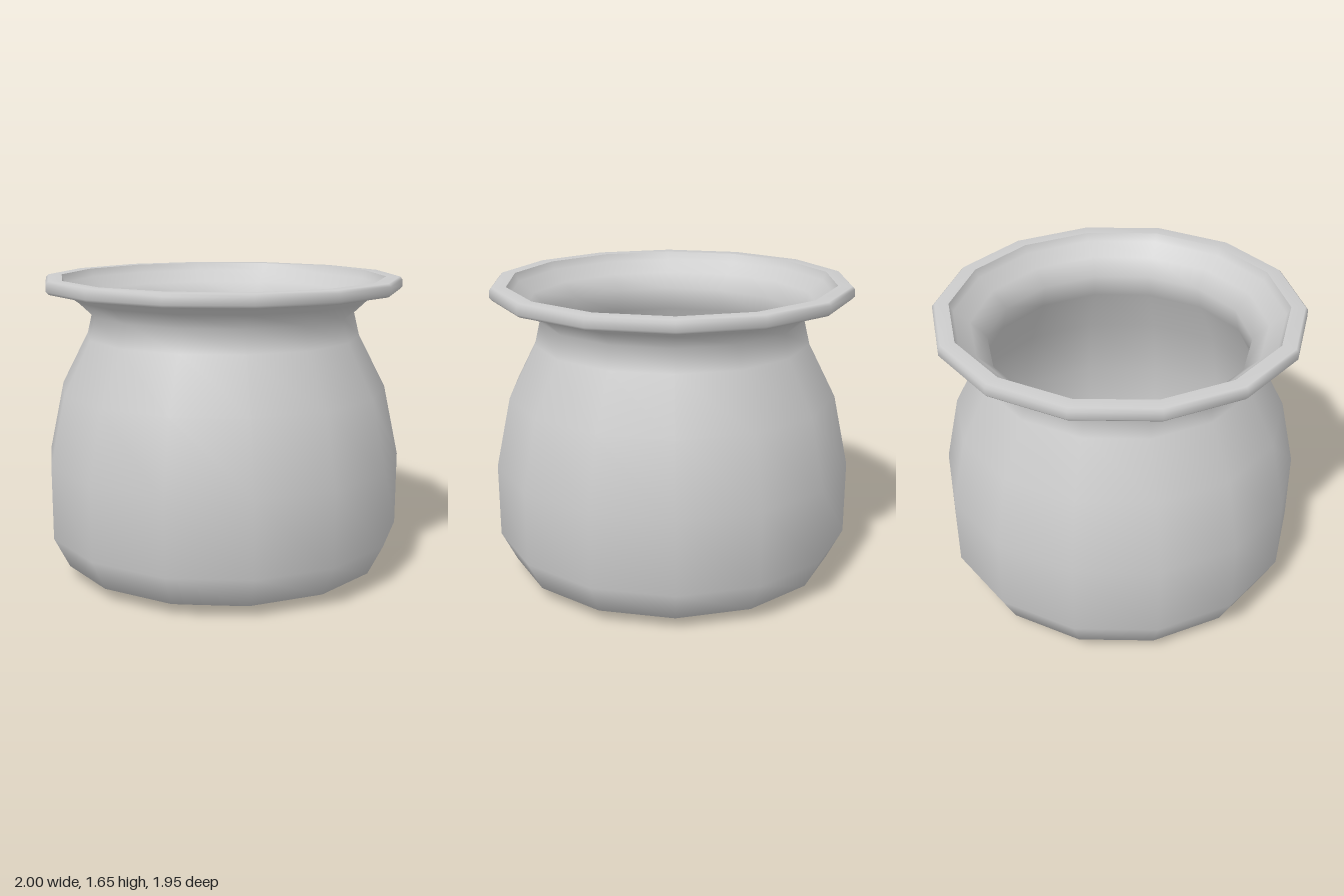
import * as THREE from 'three';

const SIDES = 14;

// Turn a [radius, height] profile into a smooth 14-sided surface with corners on the x axis.
function turned(name, profile) {
  const points = profile.map(([r, y]) => new THREE.Vector2(r, y));
  const geometry = new THREE.LatheGeometry(points, SIDES, Math.PI / 2);
  const mesh = new THREE.Mesh(geometry, new THREE.MeshStandardMaterial({ color: 0xcccccc }));
  mesh.name = name;
  return mesh;
}

export function createModel() {
  const pot = new THREE.Group();
  pot.name = 'pot';

  // Outside: base, belly, shoulder, neck and flare
  pot.add(turned('outerWall', [
    [0, 0], [0.75, 0], [0.915, 0.07], [1, 0.24], [1, 0.65], [0.915, 1.04],
    [0.765, 1.33], [0.735, 1.455], [0.82, 1.535], [0.89, 1.585],
  ]));

  // Rounded lip around the mouth
  pot.add(turned('rim', [
    [0.89, 1.585], [0.98, 1.585], [0.995, 1.6], [0.995, 1.64], [0.98, 1.655], [0.905, 1.655],
  ]));

  // Inside: from the lip through the neck down the hollow belly to the floor
  pot.add(turned('innerWall', [
    [0.905, 1.655], [0.885, 1.61], [0.8, 1.545], [0.715, 1.46], [0.745, 1.325],
    [0.895, 1.03], [0.98, 0.65], [0.98, 0.245], [0.9, 0.09], [0.745, 0.025], [0, 0.025],
  ]));

  return pot;
}
